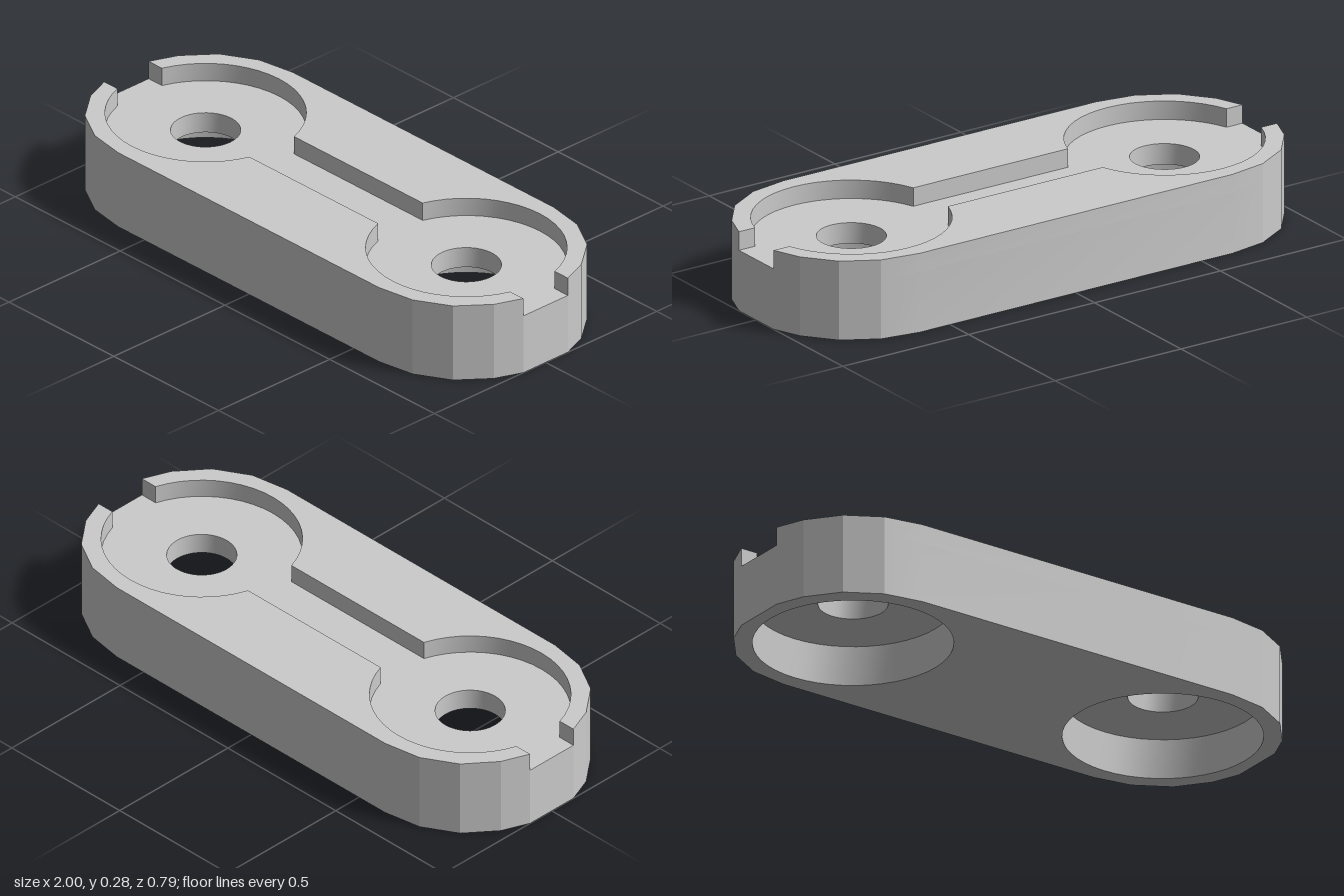
import * as THREE from 'three';
import { mergeGeometries, toCreasedNormals } from 'three/addons/utils/BufferGeometryUtils.js';

const END_X = 0.622, POCKET_R = 0.33, HOLE_R = 0.115, SLOT = 0.1;
const CEILING = 0.14, FLOOR = 0.213, TOP = 0.278;

const v = (x, y) => new THREE.Vector2(x, y);
const halfTurn = pts => pts.map(p => v(-p.x, -p.y));

// Counter-clockwise run of points on a circle around (cx, 0)
function arc(cx, r, a0, a1, n) {
  const pts = [];
  for (let i = 0; i <= n; i++) {
    const a = a0 + (a1 - a0) * i / n;
    pts.push(v(cx + r * Math.cos(a), r * Math.sin(a)));
  }
  return pts;
}
const circle = (cx, r) => arc(cx, r, 0, Math.PI * 2, 48).slice(0, -1);

// Horizontal face with holes at height y
function cap(points, holes, y, up) {
  const shape = new THREE.Shape(points);
  holes.forEach(h => shape.holes.push(new THREE.Path(h)));
  const g = new THREE.ShapeGeometry(shape).rotateX(up ? -Math.PI / 2 : Math.PI / 2);
  return g.translate(0, y, 0).toNonIndexed().deleteAttribute('uv');
}

// Vertical wall along a closed loop; it faces outward, or inward for a recess
function wall(loop, y0, y1, inward = false) {
  const pts = inward ? [...loop].reverse() : loop;
  const pos = [];
  pts.forEach((a, i) => {
    const b = pts[(i + 1) % pts.length];
    pos.push(a.x, y0, -a.y, b.x, y0, -b.y, b.x, y1, -b.y);
    pos.push(a.x, y0, -a.y, b.x, y1, -b.y, a.x, y1, -a.y);
  });
  const g = new THREE.BufferGeometry();
  g.setAttribute('position', new THREE.Float32BufferAttribute(pos, 3));
  g.computeVertexNormals();
  return g;
}

export function createModel() {
  const group = new THREE.Group();
  const material = new THREE.MeshStandardMaterial({ color: 0xcccccc });
  const add = (name, parts) => {
    const mesh = new THREE.Mesh(toCreasedNormals(mergeGeometries(parts), 0.2), material);
    mesh.name = name;
    group.add(mesh);
  };

  // Faceted outline, upper half from right to left
  const right = [v(1, SLOT), v(0.962, 0.197), v(0.878, 0.302), v(0.758, 0.37), v(END_X, 0.393)];
  const outer = [...right, ...right.map(p => v(-p.x, p.y)).reverse()];
  const outline = [...outer, ...halfTurn(outer)];

  // Edge of the recess in the top: two round pockets joined by a slot
  const a = Math.asin(SLOT / POCKET_R);
  const inner = [
    v(1, SLOT),
    ...arc(END_X, POCKET_R, a, Math.PI - a, 20),
    ...arc(-END_X, POCKET_R, a, Math.PI - a, 20),
    v(-1, SLOT),
  ];

  const ends = [-END_X, END_X];
  const pockets = ends.map(x => circle(x, POCKET_R));
  const holes = ends.map(x => circle(x, HOLE_R));

  // Body with bottom face and recess floor
  add('body', [
    wall(outline, 0, FLOOR),
    cap(outline, pockets, 0, false),
    cap([...inner, ...halfTurn(inner)], holes, FLOOR, true),
  ]);

  // Round pockets underneath, each with a through hole
  ends.forEach((x, i) => add(i ? 'leftPocket' : 'rightPocket', [
    wall(pockets[i], 0, CEILING, true),
    cap(pockets[i], [holes[i]], CEILING, false),
    wall(holes[i], CEILING, FLOOR, true),
  ]));

  // Raised rims on both sides of the slot
  const rim = [...outer, ...inner.slice(1, -1).reverse()];
  [rim, halfTurn(rim)].forEach((loop, i) => add(i ? 'frontRim' : 'backRim', [
    wall(loop, FLOOR, TOP),
    cap(loop, [], TOP, true),
  ]));

  return group;
}
